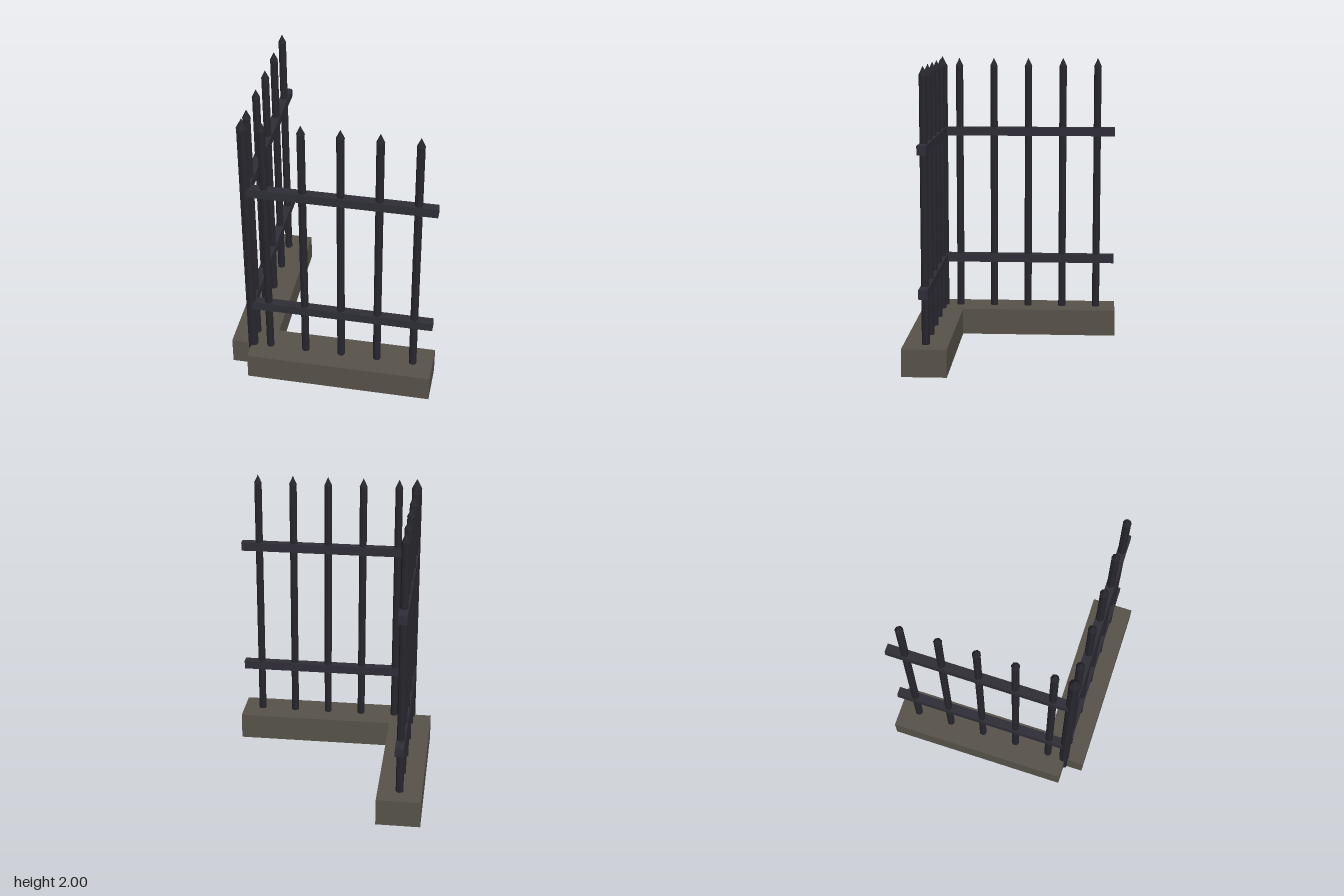
import * as THREE from 'three';

const mat = (name, color) => {
  const m = new THREE.MeshStandardMaterial({ color, flatShading: true });
  m.name = name;
  return m;
};

export function createModel() {
  const stone = mat('stone', 0x57534a);
  const railIron = mat('rail iron', 0x2f2e37);
  const barIron = mat('bar iron', 0x26262d);
  const model = new THREE.Group();
  model.name = 'cornerFence';

  // Box given by its lower and upper corners
  const box = (name, material, a, b) => {
    const mesh = new THREE.Mesh(new THREE.BoxGeometry(b[0] - a[0], b[1] - a[1], b[2] - a[2]), material);
    mesh.position.set((a[0] + b[0]) / 2, (a[1] + b[1]) / 2, (a[2] + b[2]) / 2);
    mesh.name = name;
    model.add(mesh);
  };

  // Upright with a pointed tip
  const picket = (name, x, z, radius, tipRadius, top) => {
    const group = new THREE.Group();
    group.name = name;
    const shoulder = 1.93;
    const shaft = new THREE.Mesh(new THREE.CylinderGeometry(radius, radius, shoulder, 8), barIron);
    shaft.position.y = shoulder / 2;
    shaft.name = 'shaft';
    const tip = new THREE.Mesh(new THREE.ConeGeometry(tipRadius, top - shoulder, 8), barIron);
    tip.position.y = (shoulder + top) / 2;
    tip.name = 'tip';
    group.add(shaft, tip);
    group.position.set(x, 0, z);
    model.add(group);
  };

  // Two overlapping footings, leaving a notch at the outer corner
  box('sideFooting', stone, [-0.7, 0, -0.697], [-0.403, 0.185, 0.56]);
  box('frontFooting', stone, [-0.56, 0, 0.4], [0.695, 0.184, 0.695]);

  // Lower and upper rails on both runs
  for (const y of [0.51, 1.435]) {
    box('frontRail', railIron, [-0.55, y, 0.52], [0.685, y + 0.061, 0.58]);
    box('sideRail', railIron, [-0.58, y, -0.687], [-0.52, y + 0.06, 0.55]);
  }

  // Corner post and five pickets on each run
  picket('cornerPost', -0.55, 0.55, 0.035, 0.037, 2);
  for (let i = 0; i < 5; i++) {
    const d = -0.428 + i * 0.247;
    picket('frontPicket', d, 0.55, 0.026, 0.028, 1.99);
    picket('sidePicket', -0.55, -d, 0.026, 0.028, 1.99);
  }
  return model;
}
